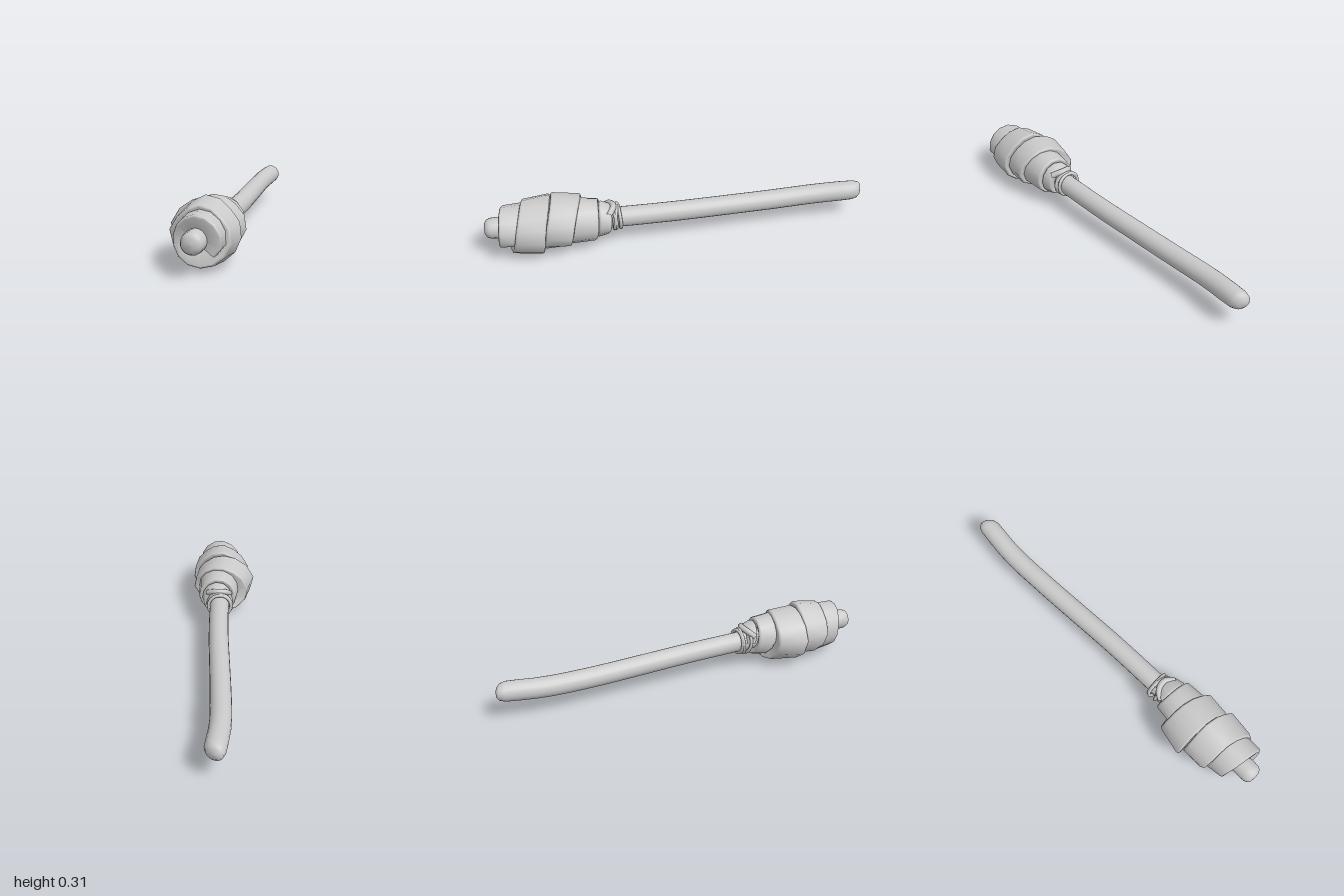
import * as THREE from 'three';

const grey = new THREE.MeshStandardMaterial({ color: 0xcacaca });
grey.name = 'light grey';

const CX = 0.015, CY = 0.15;

// Smooth interpolation through a list of equally long number rows
function sampleRows(rows, t) {
  const i = Math.max(0, Math.min(Math.floor(t), rows.length - 2)), f = t - i;
  const at = k => rows[Math.max(0, Math.min(rows.length - 1, k))];
  return rows[i].map((_, c) => {
    const a = at(i - 1)[c], b = at(i)[c], d = at(i + 1)[c], e = at(i + 2)[c];
    return b + 0.5 * f * (d - a + f * (2 * a - 5 * b + 4 * d - e + f * (3 * (b - d) + e - a)));
  });
}

function addMesh(group, geometry, name) {
  const mesh = new THREE.Mesh(geometry, grey);
  mesh.name = name;
  group.add(mesh);
}

// Round-ended stick, bent along a gentle curve
function handleGeometry() {
  const R = 0.052, sides = 20;
  const profile = [[0, -1.01], [0.025, -1.007], [0.041, -0.992], [0.05, -0.96]];
  for (let z = -0.88; z < 0.9; z += 0.08) profile.push([R, z]);
  profile.push([0.054, 0.94], [0.052, 0.97], [0.044, 0.988], [0.027, 0.998], [0, 1]);
  const geo = new THREE.LatheGeometry(profile.map(p => new THREE.Vector2(...p)), sides);
  geo.rotateX(Math.PI / 2);
  // centre line (x, y) at z = -1, -0.75 ... 1
  const path = [[0.0, 0.154], [-0.02, 0.141], [-0.014, 0.136], [-0.002, 0.138],
    [0.01, 0.141], [0.015, 0.144], [0.016, 0.148], [0.016, 0.152], [0.016, 0.154]];
  const pos = geo.attributes.position;
  for (let i = 0; i < pos.count; i++) {
    const x = pos.getX(i), z = pos.getZ(i);
    const [px, py] = sampleRows(path, (Math.max(z, -1) + 1) * 4);
    const slant = Math.max(0, (-z - 0.85) / 0.15) * (x + 0.045) * 0.36;
    pos.setXYZ(i, x + px, pos.getY(i) + py, z + slant);
  }
  geo.computeVertexNormals();
  // share normals across the lathe seam
  const n = geo.attributes.normal, rows = profile.length;
  for (let j = 0; j < rows; j++) {
    const a = new THREE.Vector3().fromBufferAttribute(n, j);
    a.add(new THREE.Vector3().fromBufferAttribute(n, sides * rows + j)).normalize();
    n.setXYZ(j, a.x, a.y, a.z);
    n.setXYZ(sides * rows + j, a.x, a.y, a.z);
  }
  return geo;
}

// Cloth strip wound in a helix; one row per quarter turn: z back, z front, r back, r front
const wrapRows = [
  [0.35, 0.40, 0.055, 0.065], [0.355, 0.42, 0.078, 0.096], [0.36, 0.43, 0.09, 0.098], [0.38, 0.45, 0.085, 0.095],
  [0.40, 0.50, 0.09, 0.10], [0.42, 0.53, 0.11, 0.12], [0.43, 0.58, 0.117, 0.122], [0.45, 0.62, 0.115, 0.122],
  [0.49, 0.65, 0.158, 0.19], [0.51, 0.66, 0.135, 0.142], [0.56, 0.70, 0.152, 0.138], [0.59, 0.72, 0.116, 0.128],
  [0.65, 0.79, 0.158, 0.155], [0.66, 0.81, 0.16, 0.14], [0.70, 0.85, 0.16, 0.145], [0.72, 0.88, 0.148, 0.13],
  [0.79, 0.885, 0.12, 0.112], [0.80, 0.915, 0.12, 0.116], [0.84, 0.93, 0.122, 0.122], [0.86, 0.93, 0.12, 0.118],
];

function wrapGeometry() {
  const perTurn = 14, endQ = 18.4, steps = Math.round(endQ / 4 * perTurn);
  const verts = [], index = [], S = 8, b = 0.012;
  const ring = i => {
    const q = endQ * i / steps, phi = q * Math.PI / 2;
    const [zb, zf, rb, rf] = sampleRows(wrapRows, q);
    const trim = i === steps ? 0.014 : 0;
    // the wide turns are pulled flat across their upper corners
    const dent = Math.sin(phi) > 0 ? 1 - 1.8 * Math.max(0, rb - 0.11) * Math.sin(2 * phi) ** 2 : 1;
    const section = [[zb + 0.02, 0.035], [zb, rb - b], [zb + b * 0.3, rb - b * 0.3], [zb + b, rb],
      [zf - b, rf], [zf - b * 0.3, rf - b * 0.3], [zf, rf - b], [zf - 0.012, 0.035]];
    for (const [z, r] of section) {
      const rr = r > 0.036 ? r * dent - trim : r;
      verts.push(CX - Math.cos(phi) * rr, CY + Math.sin(phi) * rr, z);
    }
  };
  for (let i = 0; i <= steps; i++) ring(i);
  for (let i = 0; i < steps; i++) {
    for (let j = 0; j < S; j++) {
      const a = i * S + j, c = i * S + (j + 1) % S;
      index.push(a, c, a + S, c, c + S, a + S);
    }
  }
  // flat ends of the strip
  for (const [i, flip] of [[0, true], [steps, false]]) {
    const base = verts.length / 3;
    ring(i);
    for (let j = 1; j < S - 1; j++) {
      index.push(base, base + (flip ? j + 1 : j), base + (flip ? j : j + 1));
    }
  }
  const geo = new THREE.BufferGeometry();
  geo.setAttribute('position', new THREE.Float32BufferAttribute(verts, 3));
  geo.setIndex(index);
  geo.computeVertexNormals();
  return geo;
}

export function createModel() {
  const group = new THREE.Group();
  group.name = 'wrapped torch';
  addMesh(group, handleGeometry(), 'handle');
  addMesh(group, wrapGeometry(), 'clothWrap');

  // Twine rings that tie the cloth to the handle
  for (const [z, r, tiltX, tiltY] of [[0.316, 0.062, 0.06, 0.04], [0.334, 0.066, -0.1, -0.12], [0.352, 0.066, 0.12, 0.25]]) {
    const geo = new THREE.TorusGeometry(r, 0.009, 8, 18);
    geo.rotateX(tiltX).rotateY(tiltY).translate(0.013, 0.15, z);
    addMesh(group, geo, 'twineRing');
  }

  // Loose fold of cloth lying between the twine and the wrap
  const fold = new THREE.CatmullRomCurve3([
    new THREE.Vector3(-0.04, 0.185, 0.395), new THREE.Vector3(-0.02, 0.213, 0.36),
    new THREE.Vector3(0.03, 0.222, 0.345), new THREE.Vector3(0.08, 0.2, 0.375),
  ]);
  addMesh(group, new THREE.TubeGeometry(fold, 12, 0.016, 8), 'clothFold');
  return group;
}
